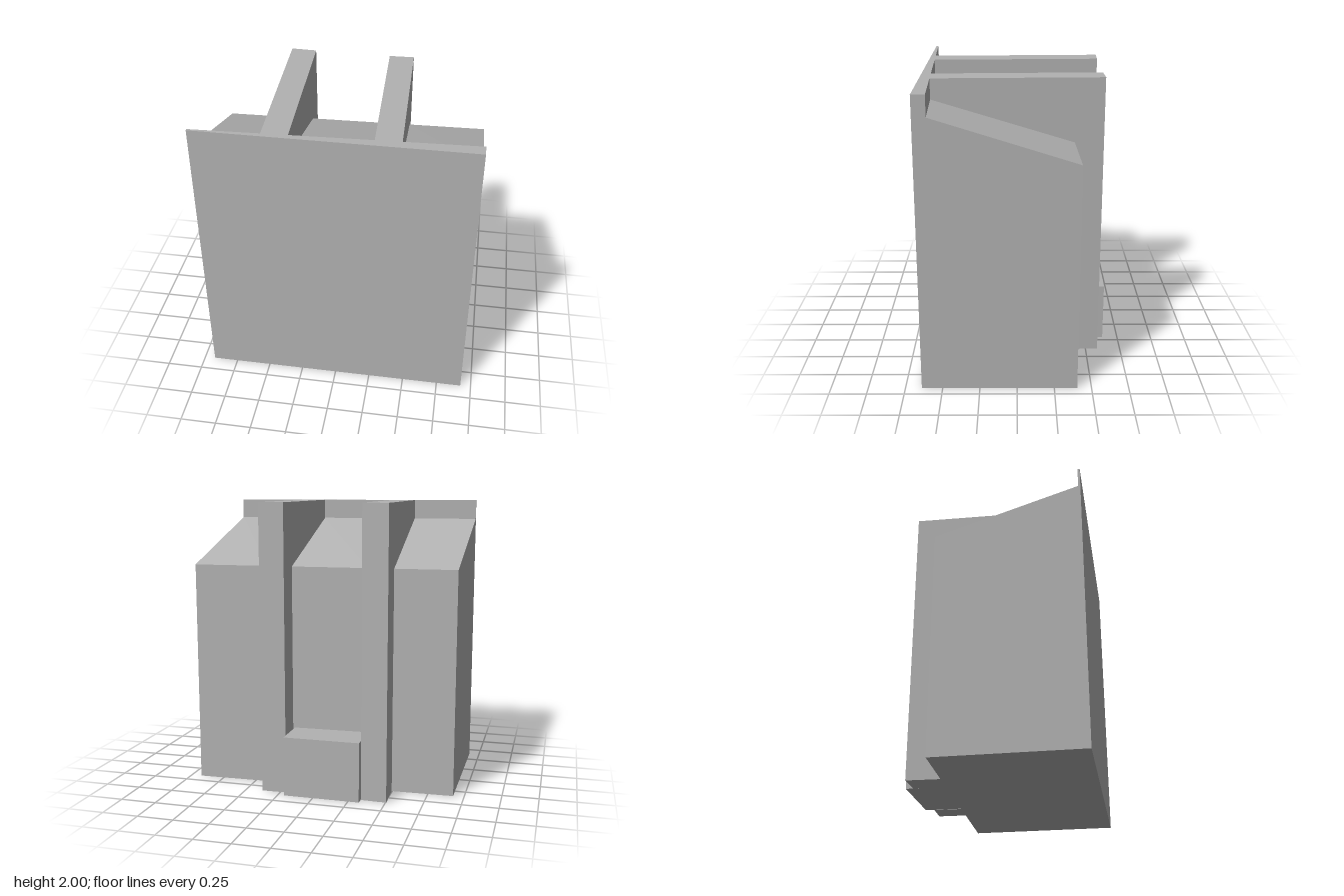
import * as THREE from 'three';

const W = 0.925, FRONT = 0.64, TOP = 2;

// Slanted plan lines: inner edge of the front wall, rear edge of the bays
const lipZ = x => 0.5875 - 0.0405 * x;
const rearZ = x => -0.377 - 0.0292 * x;

// Fin side lines as [x at rear, z at rear, x at the wall]
const FINS = [
  [[-0.505, -0.594, -0.46], [-0.328, -0.588, -0.285]],
  [[0.21, -0.58, 0.25], [0.383, -0.585, 0.421]],
];
const sideX = ([xr, zr, xw], z) => xr + (xw - xr) * (z - zr) / (lipZ(xw) - zr);

// Four-sided prism; corners run rear left, front left, front right, rear right
function prism(corners, rearTop, frontTop = rearTop) {
  const tops = [rearTop, frontTop, frontTop, rearTop];
  const lo = corners.map(([x, z]) => [x, 0, z]);
  const hi = corners.map(([x, z], i) => [x, tops[i], z]);
  const pos = [];
  const quad = (a, b, c, d) => pos.push(...a, ...b, ...c, ...a, ...c, ...d);
  quad(...hi);
  quad(lo[3], lo[2], lo[1], lo[0]);
  for (let i = 0; i < 4; i++) {
    const j = (i + 1) % 4;
    quad(lo[i], lo[j], hi[j], hi[i]);
  }
  const g = new THREE.BufferGeometry();
  g.setAttribute('position', new THREE.Float32BufferAttribute(pos, 3));
  g.computeVertexNormals();
  return g;
}

export function createModel() {
  const group = new THREE.Group();
  const grey = new THREE.MeshStandardMaterial({ color: 0xb2b2b2 });
  grey.name = 'plainGrey';
  const add = (name, geometry) => {
    const mesh = new THREE.Mesh(geometry, grey);
    mesh.name = name;
    group.add(mesh);
  };

  // Full-height front wall, slightly tapered in plan
  add('frontWall', prism([[-W, lipZ(-W)], [-W, FRONT], [W, FRONT], [W, lipZ(W)]], TOP));

  // Two tall buttress fins
  FINS.forEach(([a, b], i) => add(i ? 'leftFin' : 'rightFin', prism([
    [a[0], a[1]], [a[2], lipZ(a[2])], [b[2], lipZ(b[2])], [b[0], b[1]],
  ], TOP)));

  // Three sloped bays between and outside the fins
  const edge = side => {
    const x = sideX(side, rearZ(side[0]));
    return { rear: [x, rearZ(x)], wall: [side[2], lipZ(side[2])] };
  };
  const end = x => ({ rear: [x, rearZ(x)], wall: [x, lipZ(x)] });
  const bays = [
    ['rightBay', end(-W), edge(FINS[0][0])],
    ['middleBay', edge(FINS[0][1]), edge(FINS[1][0])],
    ['leftBay', edge(FINS[1][1]), end(W)],
  ];
  for (const [name, l, r] of bays) {
    add(name, prism([l.rear, l.wall, r.wall, r.rear], 1.56, 1.86));
  }

  // Low block at the rear between the fins
  const block = new THREE.BoxGeometry(0.53, 0.415, 0.29);
  block.translate(-0.061, 0.2075, -0.495);
  add('rearBlock', block);

  return group;
}
